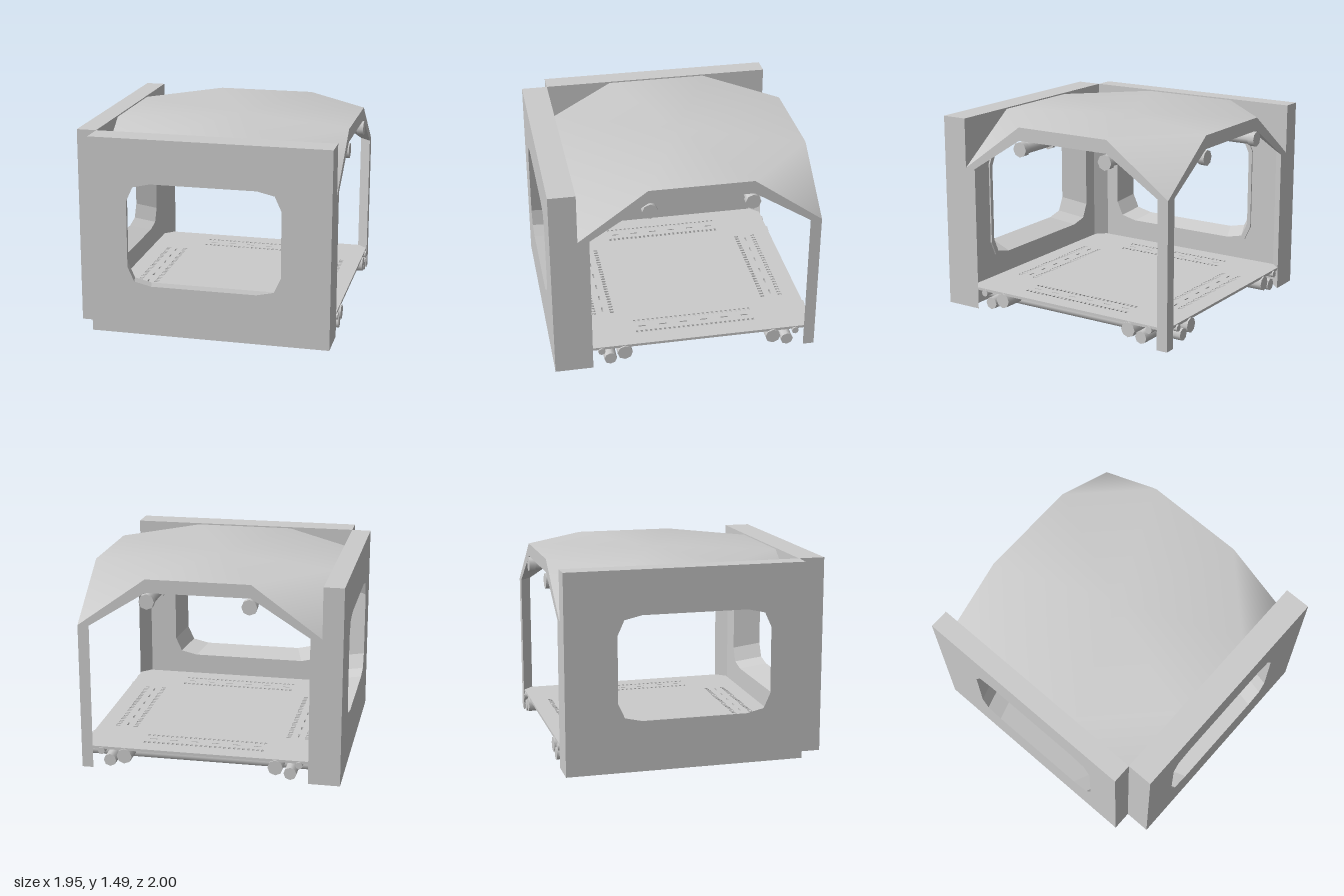
import * as THREE from 'three';
import { mergeVertices } from 'three/addons/utils/BufferGeometryUtils.js';

const grey = new THREE.MeshStandardMaterial({ color: 0xcccccc });
const greyBoth = new THREE.MeshStandardMaterial({ color: 0xcccccc, side: THREE.DoubleSide });

const A = 0.897;          // half width of the room
const B = 0.385;          // half width of the flat part of the arch
const P = 0.085;          // post width
const SPRING = 1.11, TOP = 1.48, CEIL = 1.38;

function mesh(name, geo, parent, mat = grey) {
  const m = new THREE.Mesh(geo, mat);
  m.name = name;
  parent.add(m);
  return m;
}

// Flat-faced geometry from convex polygons
function faces(polys) {
  const pos = [];
  for (const p of polys)
    for (let i = 1; i < p.length - 1; i++) pos.push(...p[0], ...p[i], ...p[i + 1]);
  const g = new THREE.BufferGeometry();
  g.setAttribute('position', new THREE.Float32BufferAttribute(pos, 3));
  g.computeVertexNormals();
  return g;
}

// Window outline with clipped corners, widened by o
function windowLoop(cx, o) {
  const q = [[0.575, 0.25], [0.525, 0.36], [0.395, 0.39]];
  const pts = [];
  for (const [sx, sy] of [[1, 1], [-1, 1], [-1, -1], [1, -1]]) {
    const c = sx * sy > 0 ? q : [...q].reverse();
    for (const [x, y] of c)
      pts.push(new THREE.Vector2(cx + sx * (x + o), 0.77 + sy * (y + o * 0.75)));
  }
  return pts;
}

// Wall in the xy plane, inner face towards +z, with a splayed window frame
function wall(name, thick, cx) {
  const g = new THREE.Group();
  g.name = name;
  const s = new THREE.Shape();
  s.moveTo(-A, 0).lineTo(A, 0).lineTo(A, 1.49).lineTo(-A, 1.49).closePath();
  s.holes.push(new THREE.Path(windowLoop(cx, 0.09)));
  const geo = new THREE.ExtrudeGeometry(s, { depth: thick, bevelEnabled: false });
  geo.translate(0, 0, -thick);
  mesh(name + 'Panel', geo, g);

  const section = [[0.09, 0.012], [0.06, 0.012], [0, -thick], [0.09, -thick], [0.09, 0.012]];
  const loops = section.map(([o, z]) => windowLoop(cx, o).map(p => [p.x, p.y, z]));
  const polys = [];
  for (let k = 0; k < 4; k++)
    for (let i = 0; i < 12; i++) {
      const j = (i + 1) % 12;
      polys.push([loops[k][i], loops[k][j], loops[k + 1][j], loops[k + 1][i]]);
    }
  mesh(name + 'WindowFrame', faces(polys), g, greyBoth);
  return g;
}

// Straight eight-sided pipe between two points
function pipe(name, a, b, r, parent) {
  const va = new THREE.Vector3(...a), vb = new THREE.Vector3(...b);
  const d = vb.clone().sub(va);
  const m = mesh(name, new THREE.CylinderGeometry(r, r, d.length(), 8), parent);
  m.position.copy(va).add(vb).multiplyScalar(0.5);
  m.quaternion.setFromUnitVectors(new THREE.Vector3(0, 1, 0), d.normalize());
  return m;
}

// L-shaped ceiling pipe with collars at its ends and clamps along both arms
function ceilingPipe(cx, cz, clamps, parent) {
  const g = new THREE.Group();
  g.name = 'ceilingPipe';
  const y = 1.315, e = A + 0.008;
  pipe('pipeArm', [e, y, cz], [cx, y, cz], 0.045, g);
  pipe('pipeArm', [cx, y, cz], [cx, y, -e], 0.045, g);
  mesh('pipeElbow', new THREE.SphereGeometry(0.045, 8, 6), g).position.set(cx, y, cz);
  pipe('pipeCollar', [e, y, cz], [e - 0.05, y, cz], 0.058, g);
  pipe('pipeCollar', [cx, y, -e], [cx, y, 0.05 - e], 0.058, g);
  for (const t of clamps) {
    pipe('pipeClamp', [cx + t - 0.012, y, cz], [cx + t + 0.012, y, cz], 0.062, g);
    pipe('pipeClamp', [cx, y, cz - t - 0.012], [cx, y, cz - t + 0.012], 0.062, g);
  }
  parent.add(g);
}

// Floor plate with rows of slots along each side
function floorGeometry() {
  const h = 0.89;
  const s = new THREE.Shape();
  s.moveTo(-h, -h).lineTo(h, -h).lineTo(h, h).lineTo(-h, h).closePath();
  const slot = (x, y, w, l) => {
    const p = new THREE.Path();
    p.moveTo(x - w, y - l).lineTo(x - w, y + l).lineTo(x + w, y + l).lineTo(x + w, y - l).closePath();
    s.holes.push(p);
  };
  const row = (d, n, pitch, along, across) => {
    for (let i = 0; i < n; i++) {
      const t = (i - (n - 1) / 2) * pitch;
      for (const k of [-1, 1]) {
        slot(t, k * d, along, across);
        slot(k * d, t, across, along);
      }
    }
  };
  row(0.74, 26, 0.036, 0.009, 0.016);
  row(0.67, 6, 0.16, 0.028, 0.006);
  row(0.60, 26, 0.036, 0.009, 0.016);
  const g = new THREE.ExtrudeGeometry(s, { depth: 0.02, bevelEnabled: false });
  g.rotateX(-Math.PI / 2);
  return g;
}

export function createModel() {
  const model = new THREE.Group();
  model.name = 'corridorCorner';

  // Two solid walls; the other two sides stay open
  const front = wall('frontWall', 0.2, 0.04);
  front.rotation.y = Math.PI;
  front.position.set(0.065, 0, 0.797);
  const side = wall('sideWall', 0.15, -0.065);
  side.rotation.y = Math.PI / 2;
  side.position.set(-0.832, 0, -0.1);
  model.add(front, side);

  const room = new THREE.Group();
  room.name = 'room';
  room.position.set(0.065, 0, -0.1);
  model.add(room);

  // One quarter of the vault: an arch, a corner facet and a corner post
  const C = [A, SPRING, A], D = [A, SPRING, -A];
  const H1 = [A, TOP, B], H2 = [A, TOP, -B], H3 = [B, TOP, A];
  const I1 = [A, CEIL, B], I2 = [A, CEIL, -B], I3 = [B, CEIL, A];
  const P1 = [A, SPRING, A - P], P2 = [A, SPRING, P - A], P3 = [A - P, SPRING, A];
  const low = p => [p[0], 0, p[2]];
  const OT = [0, TOP, 0], OC = [0, CEIL, 0];
  const arch = faces([[C, P1, I1, H1], [I1, I2, H2, H1], [I2, P2, D, H2]]);
  const ceiling = faces([[P1, P3, I3, I1], [OC, I2, I1], [OC, I1, I3]]);
  const post = faces([
    [low(C), low(P1), P1, C], [low(P3), low(C), C, P3],
    [low(P1), low(P3), P3, P1], [low(C), low(P3), low(P1)],
  ]);
  const roofPos = [];
  for (let k = 0; k < 4; k++) {
    const turn = k * Math.PI / 2;
    mesh('arch', arch, room).rotation.y = turn;
    mesh('ceiling', ceiling, room).rotation.y = turn;
    mesh('cornerPost', post, room).rotation.y = turn;
    const q = faces([[OT, H1, H2], [OT, H3, H1], [C, H1, H3]]).rotateY(turn);
    roofPos.push(...q.attributes.position.array);
  }

  // Smooth-shaded outer roof skin
  let roof = new THREE.BufferGeometry();
  roof.setAttribute('position', new THREE.Float32BufferAttribute(roofPos, 3));
  roof = mergeVertices(roof, 1e-4);
  roof.computeVertexNormals();
  mesh('roof', roof, room);

  // Ceiling pipes: a long and a short L
  ceilingPipe(-B + 0.01, B - 0.01, [0.2, 0.56, 0.92], room);
  ceilingPipe(B - 0.01, 0.01 - B, [0.2], room);

  // Floor plate and the crossing pipes beneath it
  mesh('floor', floorGeometry(), room).position.y = 0.15;
  const e = A + 0.005;
  for (const [d, y, r] of [[0.57, 0.108, 0.058], [0.68, 0.07, 0.048], [0.745, 0.138, 0.027]])
    for (const k of [-1, 1]) {
      pipe('floorPipe', [-A, y, k * d], [e, y, k * d], r, room);
      pipe('floorPipe', [k * d, y, -e], [k * d, y, A], r, room);
    }

  return model;
}
